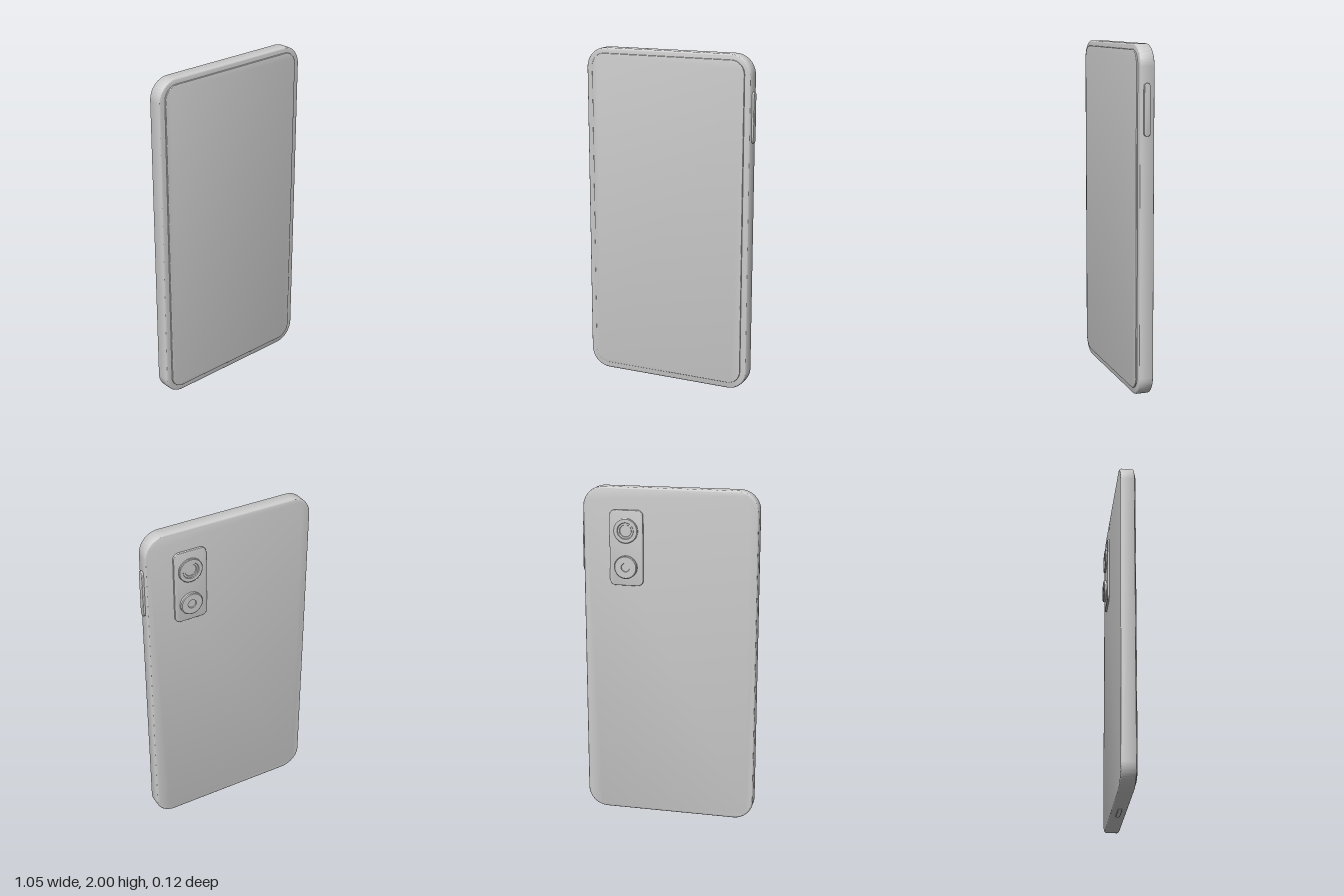
import * as THREE from 'three';
import { toCreasedNormals } from 'three/addons/utils/BufferGeometryUtils.js';

const material = new THREE.MeshStandardMaterial({ color: 0xcccccc });

// Rounded rectangle centred on the origin
function roundedRect(w, h, r) {
  const x = w / 2, y = h / 2, s = new THREE.Shape();
  s.moveTo(-x + r, -y);
  s.lineTo(x - r, -y);
  s.absarc(x - r, -y + r, r, -Math.PI / 2, 0);
  s.lineTo(x, y - r);
  s.absarc(x - r, y - r, r, 0, Math.PI / 2);
  s.lineTo(-x + r, y);
  s.absarc(-x + r, y - r, r, Math.PI / 2, Math.PI);
  s.lineTo(-x, -y + r);
  s.absarc(-x + r, -y + r, r, Math.PI, Math.PI * 1.5);
  return s;
}

// Slab with softened edges, centred on the origin, thickness along z
function slab(name, w, h, depth, r, bevel, segments = 3) {
  const geo = new THREE.ExtrudeGeometry(roundedRect(w, h, r), {
    depth: depth - 2 * bevel, curveSegments: 14,
    bevelThickness: bevel, bevelSize: bevel, bevelOffset: -bevel, bevelSegments: segments,
  });
  geo.translate(0, 0, bevel - depth / 2);
  const mesh = new THREE.Mesh(toCreasedNormals(geo, 0.7), material);
  mesh.name = name;
  return mesh;
}

// Turned camera ring; profile is [radius, height] from rim to centre, facing -z
function lens(name, y, profile) {
  const points = profile.map(([r, h]) => new THREE.Vector2(r, h));
  const geo = toCreasedNormals(new THREE.LatheGeometry(points, 48), 0.5);
  const mesh = new THREE.Mesh(geo, material);
  mesh.name = name;
  mesh.rotation.x = -Math.PI / 2;
  mesh.position.set(0.25, y, -0.045);
  return mesh;
}

export function createModel() {
  const phone = new THREE.Group();
  phone.name = 'phone';
  const add = (mesh, x, y, z) => {
    mesh.position.set(x, y, z);
    phone.add(mesh);
    return mesh;
  };

  // Case and slightly raised display
  add(slab('body', 1.033, 1.995, 0.086, 0.12, 0.012, 4), -0.007, 1.0025, 0.01);
  add(slab('screen', 0.957, 1.925, 0.016, 0.08, 0.003), -0.007, 1.006, 0.053);

  // Long side key on the model's left
  add(slab('sideButton', 0.036, 0.29, 0.03, 0.0175, 0.003), 0.507, 1.645, 0.014)
    .rotation.y = Math.PI / 2;

  // Port on the bottom edge
  add(slab('chargingPort', 0.15, 0.024, 0.01, 0.0115, 0.001, 1), -0.007, 0.005, 0.01)
    .rotation.x = Math.PI / 2;

  // Camera plate and its two lenses
  add(slab('cameraPlate', 0.2, 0.445, 0.02, 0.035, 0.004), 0.248, 1.648, -0.036);
  phone.add(lens('upperLens', 1.75, [
    [0.073, -0.005], [0.073, 0.009], [0.069, 0.012], [0.049, 0.012],
    [0.046, 0.007], [0.036, 0.007], [0.034, 0.003], [0, 0.003],
  ]));
  phone.add(lens('lowerLens', 1.536, [
    [0.068, -0.005], [0.068, 0.014], [0.063, 0.018], [0.026, 0.018],
    [0.024, 0.012], [0, 0.012],
  ]));

  return phone;
}
